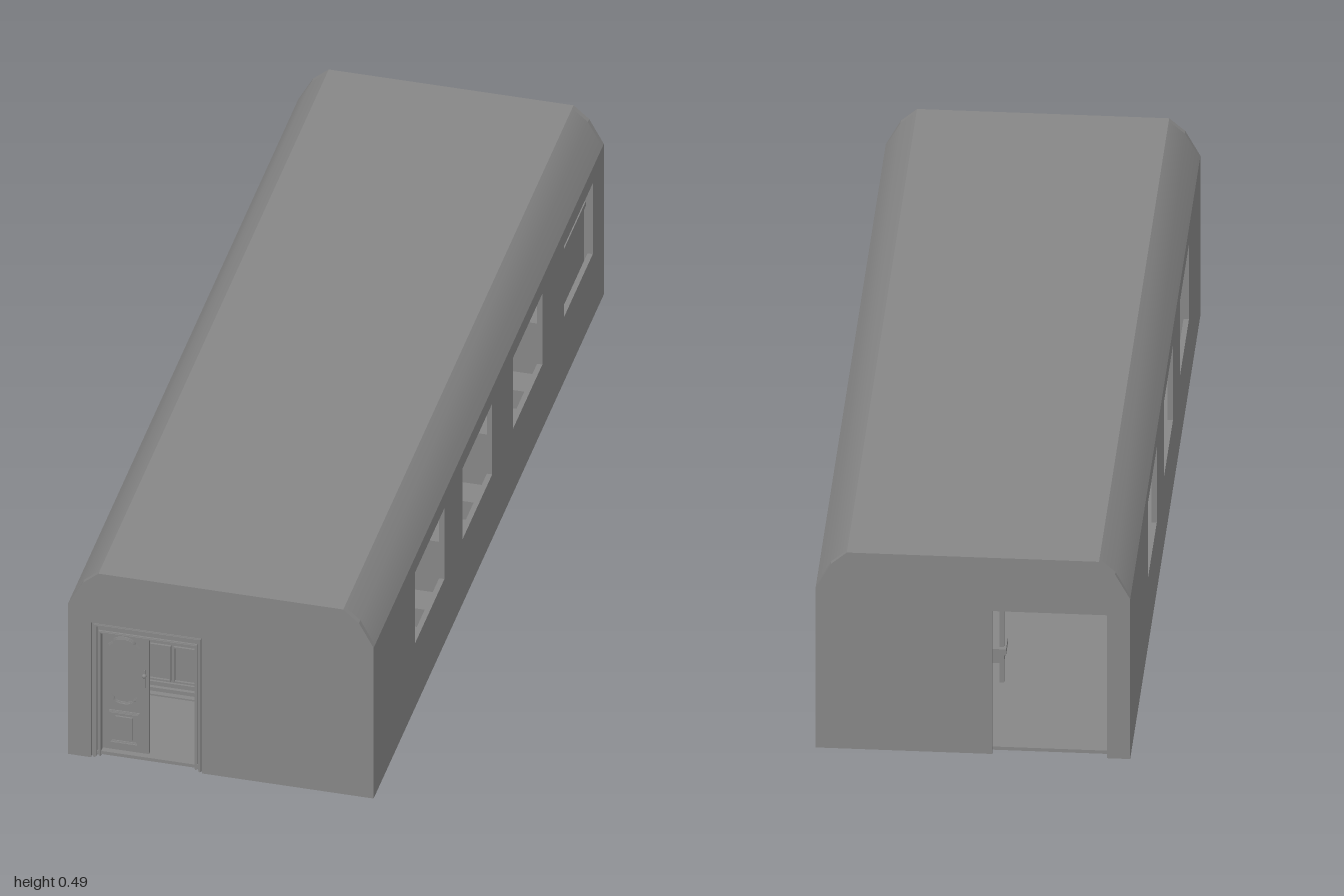
import * as THREE from 'three';
import { toCreasedNormals } from 'three/addons/utils/BufferGeometryUtils.js';

const T = 0.012; // wall thickness
const W = 0.343; // half width
const mat = new THREE.MeshStandardMaterial({ color: 0x868686, side: THREE.DoubleSide });
const oneSided = new THREE.MeshStandardMaterial({ color: 0x868686 });

function mesh(parent, geo, name, material = mat) {
  const m = new THREE.Mesh(geo, material);
  m.name = name;
  parent.add(m);
  return m;
}

// Box given by its limits on each axis
function box(parent, name, x0, x1, y0, y1, z0, z1) {
  const g = new THREE.BoxGeometry(x1 - x0, y1 - y0, z1 - z0);
  g.translate((x0 + x1) / 2, (y0 + y1) / 2, (z0 + z1) / 2);
  return mesh(parent, g, name);
}

const poly = (pts, Type = THREE.Shape) => new Type(pts.map(p => new THREE.Vector2(...p)));
const rect = (a, b, c, d, Type) => poly([[a, c], [b, c], [b, d], [a, d]], Type);

function slab(shape, depth) {
  return new THREE.ExtrudeGeometry(shape, { depth, bevelEnabled: false, curveSegments: 10 });
}

// Rectangular moulding facing z
function frame(parent, name, x0, x1, y0, y1, w, z, d) {
  const s = rect(x0, x1, y0, y1);
  s.holes.push(rect(x0 + w, x1 - w, y0 + w, y1 - w, THREE.Path));
  mesh(parent, slab(s, d), name).position.z = z;
}

// Outline of a wall running along z, with openings [z0, z1, y0, y1]
function longShape(z0, z1, y0, y1, openings) {
  const s = rect(-z1, -z0, y0, y1);
  openings.forEach(([a, b, c, d]) => s.holes.push(rect(-b, -a, c, d, THREE.Path)));
  return s;
}

function longWall(parent, name, x, t, ...outline) {
  mesh(parent, slab(longShape(...outline), t).rotateY(Math.PI / 2), name).position.x = x;
}

// Tall oval with sloping shoulders for the door window
function oval(x, y, w, h, Type) {
  const s = new Type(), k = w * 0.72, a = h - w * 0.66, b = a + 0.009;
  s.moveTo(x + w, y - a);
  s.lineTo(x + w, y + a);
  s.lineTo(x + k, y + b);
  s.absellipse(x, y + b, k, h - b, 0, Math.PI, false);
  s.lineTo(x - w, y + a);
  s.lineTo(x - w, y - a);
  s.lineTo(x - k, y - b);
  s.absellipse(x, y - b, k, h - b, Math.PI, Math.PI * 2, false);
  s.lineTo(x + w, y - a);
  return s;
}

// Cross-section outlines, counter-clockwise from the right shoulder
const mirrored = half => [...half, ...half.map(([x, y]) => [-x, y]).reverse()];
const outer = mirrored([[W, 0.397], [0.31, 0.457], [0.275, 0.487]]);
const inner = mirrored([[W - T, 0.394], [0.302, 0.448], [0.271, 0.487 - T]]);

function buildShell(car) {
  // Roof with smooth shoulders
  const roof = slab(poly([...outer, ...inner.slice().reverse()]), 2 - 2 * T);
  mesh(car, toCreasedNormals(roof, 0.62), 'roof').position.z = -1 + T;

  // End walls with a doorway cut from the bottom edge
  const end = poly([[-W, 0], [-0.292, 0], [-0.292, 0.355], [-0.042, 0.355], [-0.042, 0], [W, 0], ...outer]);
  mesh(car, slab(end, T), 'frontWall').position.z = 1 - T;
  mesh(car, slab(end, T), 'backWall').position.z = -1;

  // Side walls with windows
  const win = (a, b) => [a, b, 0.17, 0.357];
  longWall(car, 'leftWall', W - T, T, -1 + T, 1 - T, 0, 0.397,
    [win(0.385, 0.64), win(-0.03, 0.226), win(-0.466, -0.212), win(-0.904, -0.652)]);
  longWall(car, 'rightWall', -W, T, -1 + T, 1 - T, 0, 0.397,
    [win(0.425, 0.675), win(-0.035, 0.22), win(-0.497, -0.242)]);

  box(car, 'floor', -W + T, W - T, 0.004, T, -1 + T, 1 - T);
}

function buildFrontDoor(car) {
  const g = new THREE.Group();
  g.name = 'frontDoor';
  car.add(g);
  // Door surround: two flat bands, each carrying stepped ridges [left, right, top, width, z]
  [[-0.293, -0.041, 0.356, 0.012, 0.982], [-0.288, -0.046, 0.35, 0.006, 0.985], [-0.2865, -0.0475, 0.3485, 0.003, 0.987],
    [-0.283, -0.051, 0.344, 0.011, 0.974], [-0.278, -0.056, 0.328, 0.006, 0.978], [-0.2765, -0.0575, 0.3265, 0.003, 0.98]]
    .forEach(([a, b, top, w, z]) => {
      const s = poly([[a, 0], [a + w, 0], [a + w, top - w], [b - w, top - w], [b - w, 0], [b, 0], [b, top], [a, top]]);
      mesh(g, slab(s, 0.01), 'doorSurround').position.z = z;
    });
  box(g, 'surroundHead', -0.283, -0.051, 0.322, 0.346, 0.974, 0.984);

  // Sliding leaf with stepped mouldings
  box(g, 'doorLeaf', -0.275, -0.168, 0, 0.328, 0.964, 0.974);
  [[0, 0.007, 0.003], [0.0015, 0.004, 0.005], [0.003, 0.002, 0.007]].forEach(([i, w, d]) => {
    const ring = oval(-0.224, 0.223, 0.036 - i, 0.089 - i, THREE.Shape);
    ring.holes.push(oval(-0.224, 0.223, 0.036 - i - w, 0.089 - i - w, THREE.Path));
    mesh(g, slab(ring, d), 'ovalMoulding').position.z = 0.974;
    frame(g, 'lowerMoulding', -0.258 + i, -0.188 - i, 0.03 + i, 0.116 - i, w, 0.974, d);
  });
  box(g, 'lowerPanel', -0.243, -0.205, 0.044, 0.102, 0.974, 0.978);

  // Handle
  box(g, 'handlePlate', -0.1785, -0.1765, 0.185, 0.232, 0.974, 0.977);
  mesh(g, new THREE.SphereGeometry(0.005, 12, 8), 'doorKnob').position.set(-0.1775, 0.22, 0.98);
}

function bench(car, zBack, dir) {
  const g = new THREE.Group();
  g.name = 'bench';
  g.position.z = zBack;
  g.scale.z = dir;
  box(g, 'benchBase', 0.1, W - T, T, 0.06, 0, 0.05);
  box(g, 'benchSeat', 0.09, W - T, 0.06, 0.085, 0, 0.085);
  box(g, 'benchBack', 0.09, W - T, 0.085, 0.22, 0, 0.015);
  car.add(g);
}

function buildInterior(car) {
  // Panelled cross wall behind the entrance
  const cross = poly([[-W + T, T], [W - T, T], ...inner]);
  mesh(car, slab(cross, 0.012), 'vestibuleWall').position.z = 0.73;
  [[-0.3, -0.178], [-0.172, -0.089], [-0.087, -0.062]].forEach(([a, b]) => {
    frame(car, 'upperPanelFrame', a, b, 0.168, 0.33, 0.003, 0.742, 0.005);
    frame(car, 'lowerPanelFrame', a, b, 0.05, 0.143, 0.003, 0.742, 0.005);
  });
  [[T, 0.016, 0.012], [0.028, 0.031, 0.008], [0.042, 0.045, 0.005]].forEach(([a, b, d]) =>
    box(car, 'skirting', -W + T, W - T, a, b, 0.742, 0.742 + d));

  // Thin corridor partition, faced on the compartment side, with two doorways
  const partition = longShape(-0.55, 0.73, T, 0.475,
    [[0.019, 0.18, 0.013, 0.36], [-0.437, -0.28, 0.013, 0.36]]);
  mesh(car, new THREE.ShapeGeometry(partition).rotateY(Math.PI / 2), 'corridorPartition', oneSided).position.x = -0.04;

  // Closed compartment door: posts and panel moulding
  [[0.622, 0.634], [0.476, 0.486]].forEach(([a, b]) => {
    box(car, 'doorPost', -0.04, -0.032, T, 0.37, a, b);
    box(car, 'doorPostBead', -0.032, -0.028, T, 0.37, a + 0.003, b - 0.003);
  });
  longWall(car, 'doorMoulding', -0.04, 0.006, 0.513, 0.597, 0.06, 0.327, [[0.522, 0.588, 0.069, 0.318]]);

  // Back-to-back benches between the windows, and long ceiling slats
  [0.305, -0.12, -0.56].forEach(z => {
    bench(car, z, 1);
    if (z > -0.5) bench(car, z, -1);
  });
  [0.02, 0.08, 0.14, 0.2, 0.26].forEach(x => box(car, 'ceilingSlat', x, x + 0.012, 0.465, 0.476, -0.6, 0.73));

  // Post and stepped ledge where the partition ends
  box(car, 'endPost', -0.045, -0.035, T, 0.475, -0.7, -0.69);
  box(car, 'endLedge', -0.05, 0, 0.085, 0.1, -0.71, -0.66);
  box(car, 'endLedgeStep', -0.045, -0.005, 0.06, 0.085, -0.7, -0.665);

  // Blind panel behind the rear window
  box(car, 'blindPanel', 0.312, 0.32, T, 0.39, -0.915, -0.64);
  box(car, 'blindRail', 0.32, 0.325, 0.288, 0.3, -0.915, -0.64);
}

export function createModel() {
  const car = new THREE.Group();
  car.name = 'railwayCarriage';
  buildShell(car);
  buildFrontDoor(car);
  buildInterior(car);
  return car;
}
